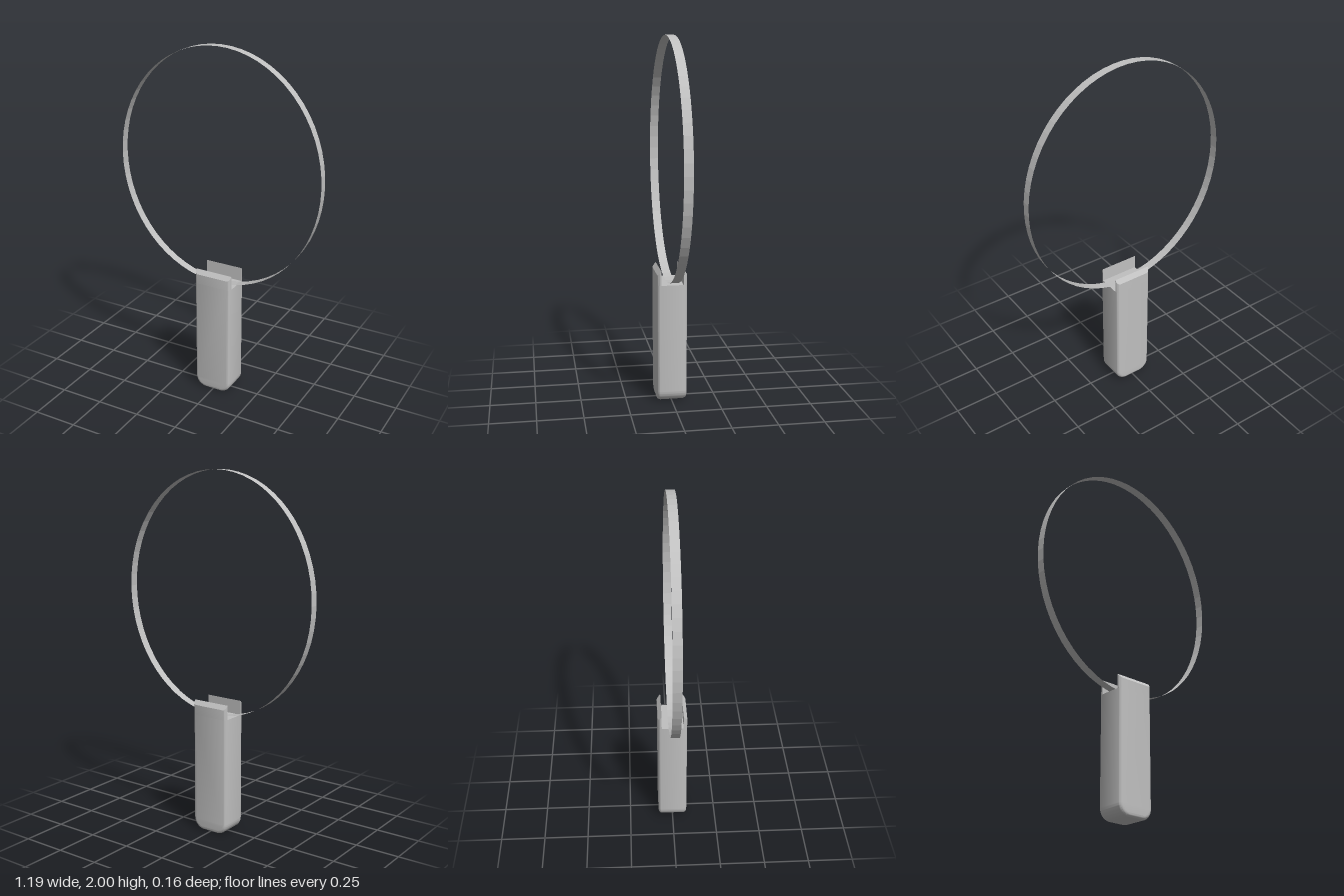
import * as THREE from 'three';
import { toCreasedNormals } from 'three/addons/utils/BufferGeometryUtils.js';

const HALF_W = 0.11, HALF_D = 0.082, SLOT = 0.061, FLOOR = 0.67, EDGE = 0.02;

// Move every vertex height by a rule
function mapHeights(geometry, rule) {
  const p = geometry.attributes.position;
  for (let i = 0; i < p.count; i++) p.setY(i, rule(p.getY(i), p.getZ(i)));
  return toCreasedNormals(geometry, 0.6);
}

// Handle block: rounded lower corners, soft edges, flat top cut at the slot floor
function handleGeometry() {
  const w = HALF_W - EDGE, r = 0.045, top = FLOOR + 0.03;
  const s = new THREE.Shape();
  s.moveTo(w, top);
  s.lineTo(-w, top);
  s.lineTo(-w, EDGE + r);
  s.absarc(-w + r, EDGE + r, r, Math.PI, Math.PI * 1.5, false);
  s.absarc(w - r, EDGE + r, r, Math.PI * 1.5, Math.PI * 2, false);
  s.closePath();
  const depth = 2 * (HALF_D - EDGE);
  const g = new THREE.ExtrudeGeometry(s, {
    depth, bevelThickness: EDGE, bevelSize: EDGE, bevelSegments: 5, curveSegments: 8,
  });
  g.translate(0, 0, -depth / 2);
  return mapHeights(g, (y) => Math.min(y, FLOOR));
}

// Thin wall beside the slot, with a top that slopes down outwards
function wallGeometry() {
  const r = EDGE;
  const s = new THREE.Shape();
  s.moveTo(-HALF_W, -SLOT);
  s.lineTo(-HALF_W, -HALF_D + r);
  s.absarc(-HALF_W + r, -HALF_D + r, r, Math.PI, Math.PI * 1.5, false);
  s.absarc(HALF_W - r, -HALF_D + r, r, Math.PI * 1.5, Math.PI * 2, false);
  s.lineTo(HALF_W, -SLOT);
  s.closePath();
  const g = new THREE.ExtrudeGeometry(s, { depth: 1, bevelEnabled: false, curveSegments: 5 });
  g.rotateX(-Math.PI / 2);
  return mapHeights(g, (y, z) => (y > 0.5 ? 0.75 - (Math.abs(z) - SLOT) * 1.15 : FLOOR));
}

// Oval band without thickness, faceted along its length
function bandGeometry() {
  const g = new THREE.CylinderGeometry(1, 1, 0.048, 64, 1, true);
  g.rotateX(Math.PI / 2);
  g.scale(0.597, 0.664, 1);
  g.translate(0, 1.336, 0);
  const flat = g.toNonIndexed();
  flat.computeVertexNormals();
  return flat;
}

export function createModel() {
  const grey = new THREE.MeshStandardMaterial({ color: 0xc0c0c0 });
  grey.name = 'grey';
  const bandGrey = grey.clone();
  bandGrey.name = 'bandGrey';
  bandGrey.side = THREE.DoubleSide;

  const model = new THREE.Group();
  model.name = 'ovalLoopWithHandle';
  const add = (name, geometry, material) => {
    const mesh = new THREE.Mesh(geometry, material);
    mesh.name = name;
    model.add(mesh);
    return mesh;
  };

  add('handle', handleGeometry(), grey);
  const wall = wallGeometry();
  add('frontWall', wall, grey);
  add('backWall', wall, grey).rotation.y = Math.PI;
  add('band', bandGeometry(), bandGrey);
  return model;
}
